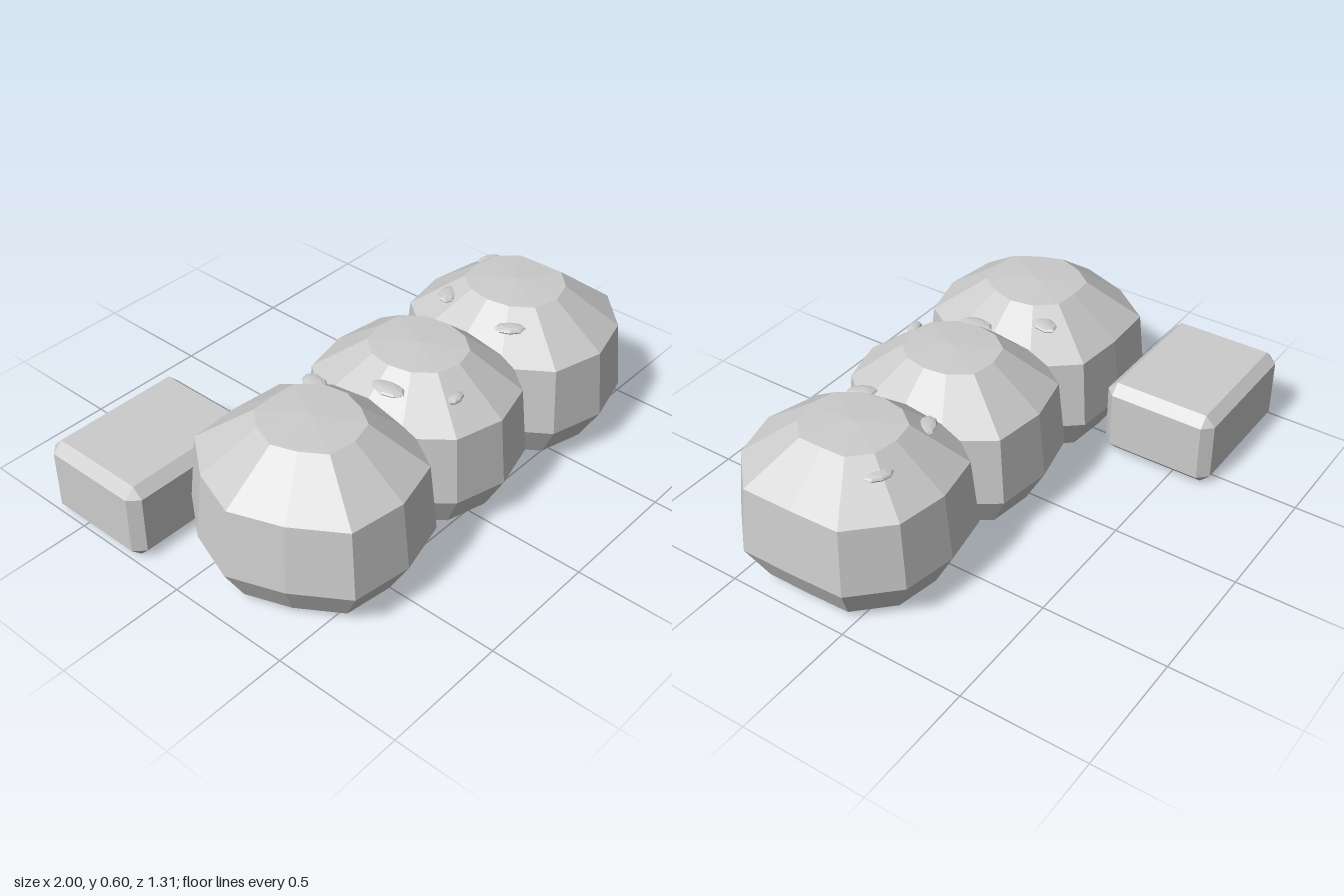
import * as THREE from 'three';
import { ConvexGeometry } from 'three/addons/geometries/ConvexGeometry.js';

const material = new THREE.MeshStandardMaterial({ color: 0xcccccc, flatShading: true });

// Ring heights and radius factors of a bun, from base to crown
const RINGS = [[0.025, 0.81], [0.17, 1], [0.44, 0.935], [0.59, 0.45]];

// Faceted bun: a 12-sided uneven outline carried up through the rings
function bunGeometry(radii) {
  const n = radii.length, pos = [], index = [];
  RINGS.forEach(([y, s]) => radii.forEach((r, i) => {
    const a = (i / n) * Math.PI * 2;
    pos.push(Math.cos(a) * r * s, y, Math.sin(a) * r * s);
  }));
  const bottom = pos.length / 3, top = bottom + 1, last = (RINGS.length - 1) * n;
  pos.push(0, 0.018, 0, 0, 0.602, 0);
  for (let i = 0; i < n; i++) {
    const j = (i + 1) % n;
    for (let k = 0; k < last; k += n) {
      const a = k + i, b = k + j, c = a + n, d = b + n;
      // alternate the diagonals for the zigzag facets
      if (i % 2) index.push(a, c, d, a, d, b);
      else index.push(a, c, b, b, c, d);
    }
    index.push(bottom, i, j, top, last + j, last + i);
  }
  const g = new THREE.BufferGeometry();
  g.setAttribute('position', new THREE.Float32BufferAttribute(pos, 3));
  g.setIndex(index);
  g.computeVertexNormals();
  return g;
}

// Box with evenly bevelled edges and corners
function bevelledBox(w, h, d, c) {
  const points = [];
  for (const x of [-1, 1]) for (const y of [-1, 1]) for (const z of [-1, 1]) {
    for (const flat of [0, 1, 2]) {
      const half = [w / 2, h / 2, d / 2].map((v, i) => (i === flat ? v : v - c));
      points.push(new THREE.Vector3(x * half[0], y * half[1], z * half[2]));
    }
  }
  return new ConvexGeometry(points);
}

export function createModel() {
  const model = new THREE.Group();
  model.name = 'bunsAndBlock';

  const add = (name, geometry, x, y, z) => {
    const mesh = new THREE.Mesh(geometry, material);
    mesh.name = name;
    mesh.position.set(x, y, z);
    model.add(mesh);
    return mesh;
  };

  // Three touching buns; radii start at +x and turn towards the front
  const buns = [
    ['rightBun', -0.52, [0.4, 0.39, 0.44, 0.44, 0.47, 0.42, 0.44, 0.42, 0.45, 0.4, 0.44, 0.42]],
    ['middleBun', 0.05, [0.38, 0.39, 0.41, 0.41, 0.41, 0.39, 0.38, 0.4, 0.43, 0.42, 0.45, 0.41]],
    ['leftBun', 0.62, [0.38, 0.44, 0.44, 0.44, 0.44, 0.4, 0.38, 0.4, 0.43, 0.41, 0.43, 0.43]],
  ];
  for (const [name, x, radii] of buns) add(name, bunGeometry(radii), x, 0, 0.21);

  // Small flat seeds half sunk into the shoulders: x, y, z, length, turn
  const seeds = [
    [-0.33, 0.545, 0.05, 0.07, 1.2],
    [-0.18, 0.545, 0.26, 0.07, 1.6],
    [-0.05, 0.53, 0.46, 0.04, 0.1],
    [0.44, 0.54, 0.03, 0.06, 0.5],
    [0.75, 0.54, 0.0, 0.055, -0.5],
    [0.41, 0.54, 0.35, 0.06, -0.9],
  ];
  const seedShape = new THREE.SphereGeometry(1, 8, 6);
  seeds.forEach(([x, y, z, length, turn], i) => {
    const seed = add(`seed${i + 1}`, seedShape, x, y, z);
    seed.scale.set(length, 0.014, length * 0.6);
    seed.rotation.y = turn;
  });

  // Bevelled block behind the right bun
  add('block', bevelledBox(0.6, 0.315, 0.47, 0.04), -0.7, 0.1575, -0.425);

  return model;
}
